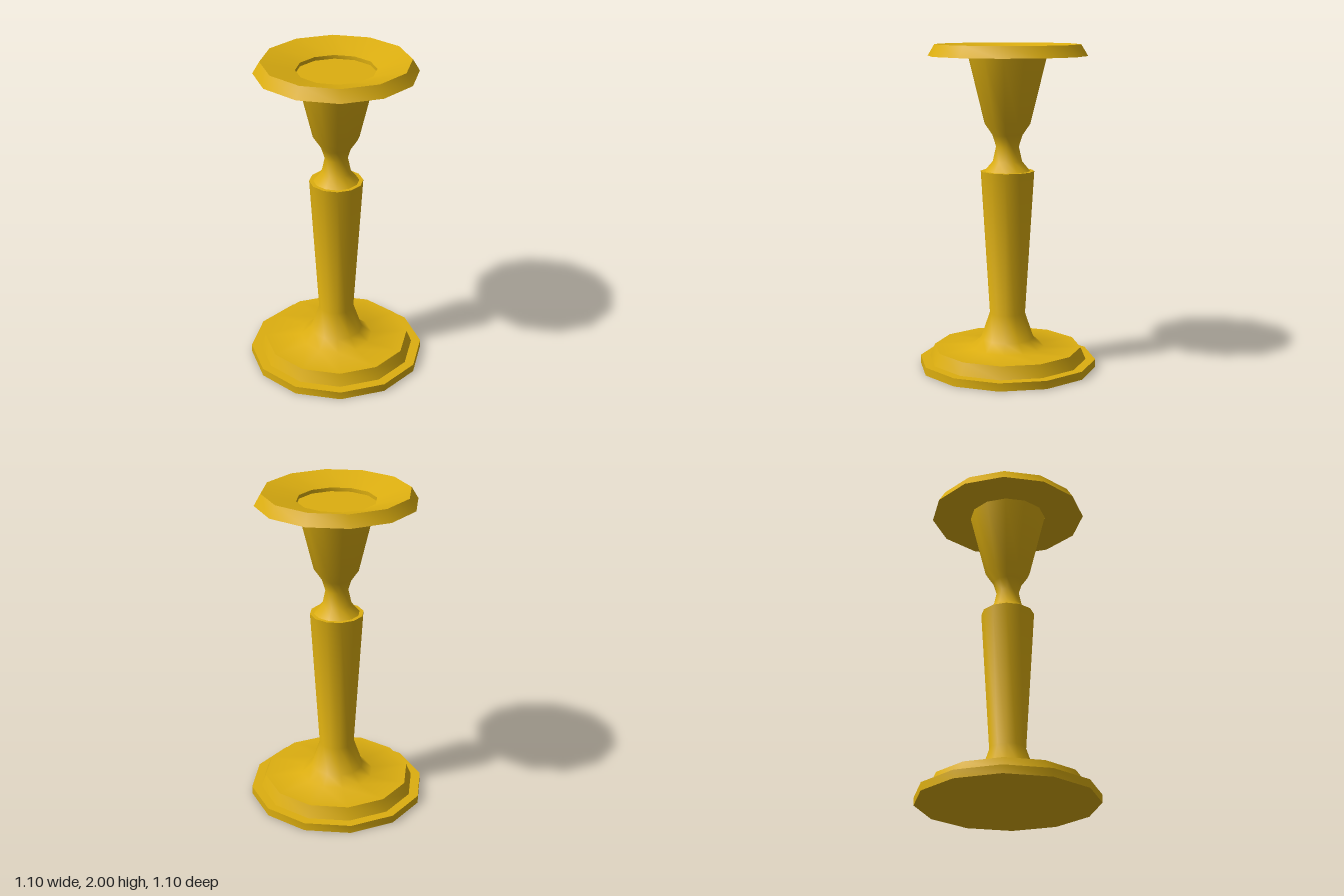
import * as THREE from 'three';
import { toCreasedNormals } from 'three/addons/utils/BufferGeometryUtils.js';

const SIDES = 12;
const CREASE = THREE.MathUtils.degToRad(45);

export function createModel() {
  const group = new THREE.Group();
  group.name = 'candlestick';

  const brass = new THREE.MeshStandardMaterial({ color: 0xdcae10 });
  brass.name = 'brass';

  // Turns a profile of [radius, height] pairs, soft within and sharp at hard edges
  function turn(name, profile) {
    const points = profile.map(([r, y]) => new THREE.Vector2(r, y));
    const geometry = toCreasedNormals(new THREE.LatheGeometry(points, SIDES), CREASE);
    const mesh = new THREE.Mesh(geometry, brass);
    mesh.name = name;
    group.add(mesh);
  }

  // Stepped foot flowing into the tapered stem, with a flat shoulder on top
  turn('baseAndStem', [
    [0, 0], [0.55, 0], [0.55, 0.05], [0.49, 0.05], [0.458, 0.125],
    [0.23, 0.125], [0.165, 0.18], [0.11, 0.34], [0.165, 1.23], [0.14, 1.23],
  ]);

  // Pinched neck widening into the cup
  turn('neckAndCup', [
    [0.14, 1.23], [0.09, 1.29], [0.07, 1.38], [0.092, 1.45], [0.14, 1.52], [0.24, 1.93],
  ]);

  // Drip tray: flat underside, bevelled rim, sloping dish and sunken socket floor
  turn('dripTray', [
    [0.24, 1.93], [0.487, 1.93], [0.445, 2], [0.24, 1.945], [0.24, 1.922], [0, 1.922],
  ]);

  return group;
}
